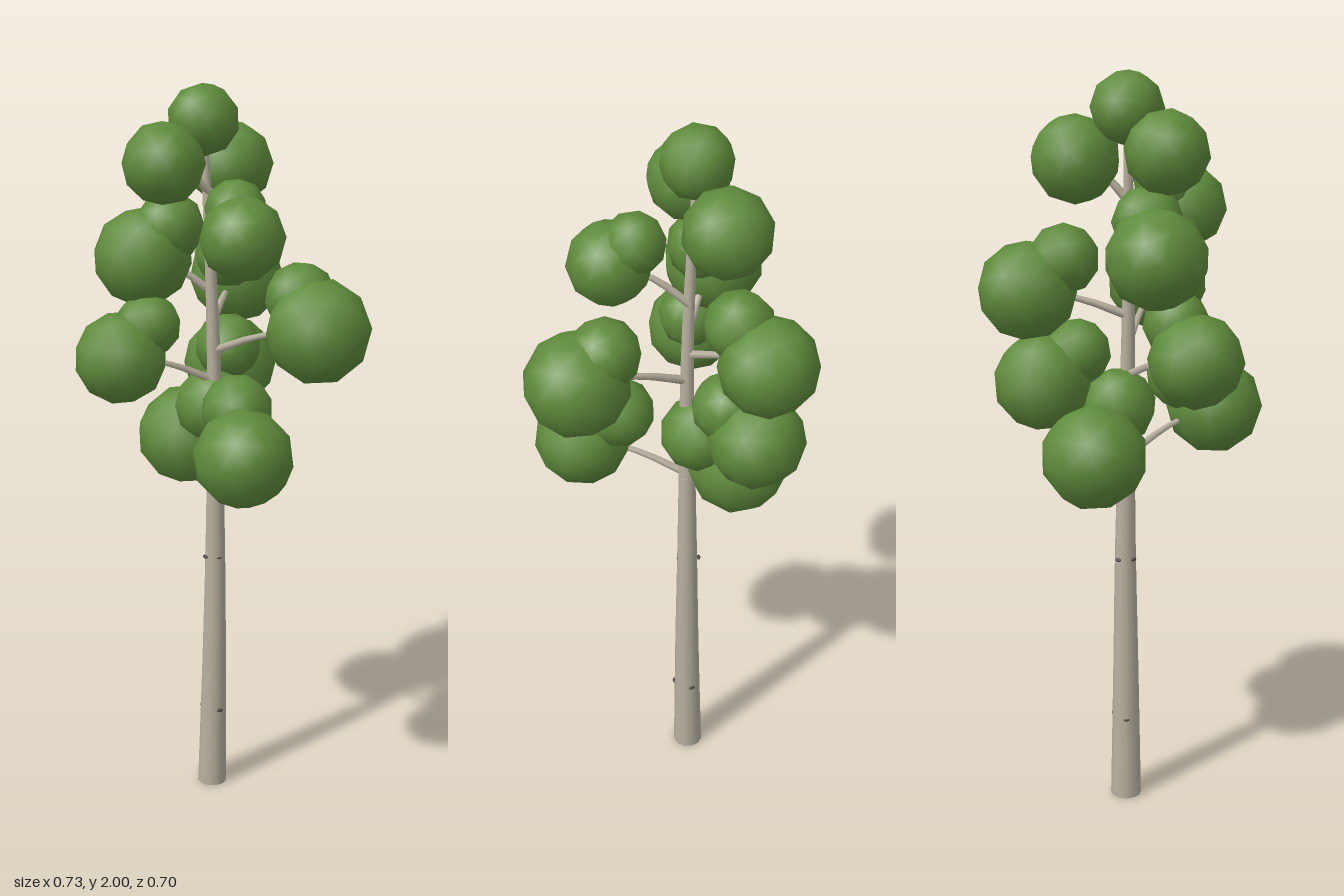
import * as THREE from 'three';

const V = (a) => new THREE.Vector3(...a);

// Round limb along a curve, narrowing from r0 to r1
function limb(points, r0, r1, segments, sides) {
  const curve = new THREE.CatmullRomCurve3(points.map(V));
  const geo = new THREE.TubeGeometry(curve, segments, 1, sides, false);
  const pos = geo.attributes.position;
  const v = new THREE.Vector3();
  for (let i = 0; i < pos.count; i++) {
    const t = Math.floor(i / (sides + 1)) / segments;
    const c = curve.getPointAt(t);
    v.fromBufferAttribute(pos, i).sub(c).multiplyScalar(r0 + (r1 - r0) * t).add(c);
    pos.setXYZ(i, v.x, v.y, v.z);
  }
  return geo;
}

export function createModel() {
  const bark = new THREE.MeshStandardMaterial({ color: 0xb9b1a0 });
  const knotDark = new THREE.MeshStandardMaterial({ color: 0x4d463c });
  const leaf = new THREE.MeshStandardMaterial({ color: 0x5f8b3c });
  bark.name = 'paleBark';
  knotDark.name = 'darkKnot';
  leaf.name = 'leafGreen';

  const tree = new THREE.Group();
  tree.name = 'tree';
  const add = (name, geo, mat) => {
    const mesh = new THREE.Mesh(geo, mat);
    mesh.name = name;
    tree.add(mesh);
    return mesh;
  };

  // Trunk: wide lower stem, slender upper stem, flat base
  add('lowerTrunk', limb([[-0.1, 0, -0.015], [-0.092, 0.4, -0.018], [-0.088, 0.72, -0.02], [-0.085, 1, -0.018]], 0.042, 0.023, 8, 12), bark);
  add('upperTrunk', limb([[-0.085, 1, -0.018], [-0.083, 1.3, -0.012], [-0.09, 1.6, -0.005], [-0.105, 1.88, 0]], 0.023, 0.01, 8, 10), bark);
  const base = add('trunkBase', new THREE.CircleGeometry(0.042, 12), bark);
  base.rotation.x = Math.PI / 2;
  base.position.set(-0.1, 0.001, -0.015);

  // Dark knots on the bark: height, angle, trunk radius there
  const knots = [[0.24, 0.3, 0.036], [0.24, 2.6, 0.036], [0.71, 0.2, 0.028], [0.71, 1.7, 0.028], [0.71, 3.4, 0.028], [0.24, 4.6, 0.036]];
  for (const [y, a, r] of knots) {
    const knot = add('knot', new THREE.SphereGeometry(0.009, 8, 6), knotDark);
    knot.scale.set(0.6, 0.55, 1.1);
    knot.rotation.y = -a;
    knot.position.set(-0.093 + Math.cos(a) * r, y, -0.018 + Math.sin(a) * r);
  }

  // Foliage clumps: outer ball [x, y, z, r], inner ball, height where the branch leaves the trunk
  const clumps = [
    [[-0.22, 1.03, -0.04, 0.137], [-0.11, 1.14, -0.03, 0.1], 0.98],
    [[0.165, 1.09, 0.12, 0.129], [0.08, 1.19, 0.06, 0.092], 1.0],
    [[-0.21, 1.21, -0.195, 0.127], [-0.15, 1.28, -0.13, 0.09], 1.1],
    [[-0.18, 1.31, 0.23, 0.12], [-0.15, 1.39, 0.16, 0.085], 1.22],
    [[0.23, 1.4, -0.085, 0.135], [0.16, 1.475, -0.09, 0.092], 1.3],
    [[-0.22, 1.45, -0.23, 0.127], [-0.17, 1.53, -0.15, 0.09], 1.38],
    [[-0.2, 1.56, 0.13, 0.128], [-0.15, 1.64, 0.08, 0.09], 1.46],
    [[0.1, 1.64, 0.06, 0.108], [0.045, 1.7, 0.03, 0.08], 1.53],
    [[-0.14, 1.78, -0.13, 0.112], null, 1.68],
    [[-0.125, 1.81, 0.12, 0.106], null, 1.72],
    [[-0.105, 1.91, 0, 0.092], null, null],
  ];
  const ball = (name, [x, y, z, r], turn) => {
    const mesh = add(name, new THREE.IcosahedronGeometry(r * 1.02, 1), leaf);
    mesh.position.set(x, y, z);
    mesh.rotation.set(turn * 0.7, turn * 1.3, turn * 0.4);
  };
  clumps.forEach(([outer, inner, y0], i) => {
    ball('foliageBall', outer, i);
    if (inner) ball('innerFoliageBall', inner, i + 0.5);
    if (y0 === null) return;
    // Branch rising from the trunk and levelling off inside the clump
    const [x, y, z] = outer;
    const x0 = -0.087, z0 = -0.012;
    const mid = [x0 + (x - x0) * 0.45, y0 + (y - y0) * 0.62, z0 + (z - z0) * 0.45];
    add('branch', limb([[x0, y0, z0], mid, [x, y, z]], 0.012, 0.005, 6, 6), bark);
  });

  return tree;
}
